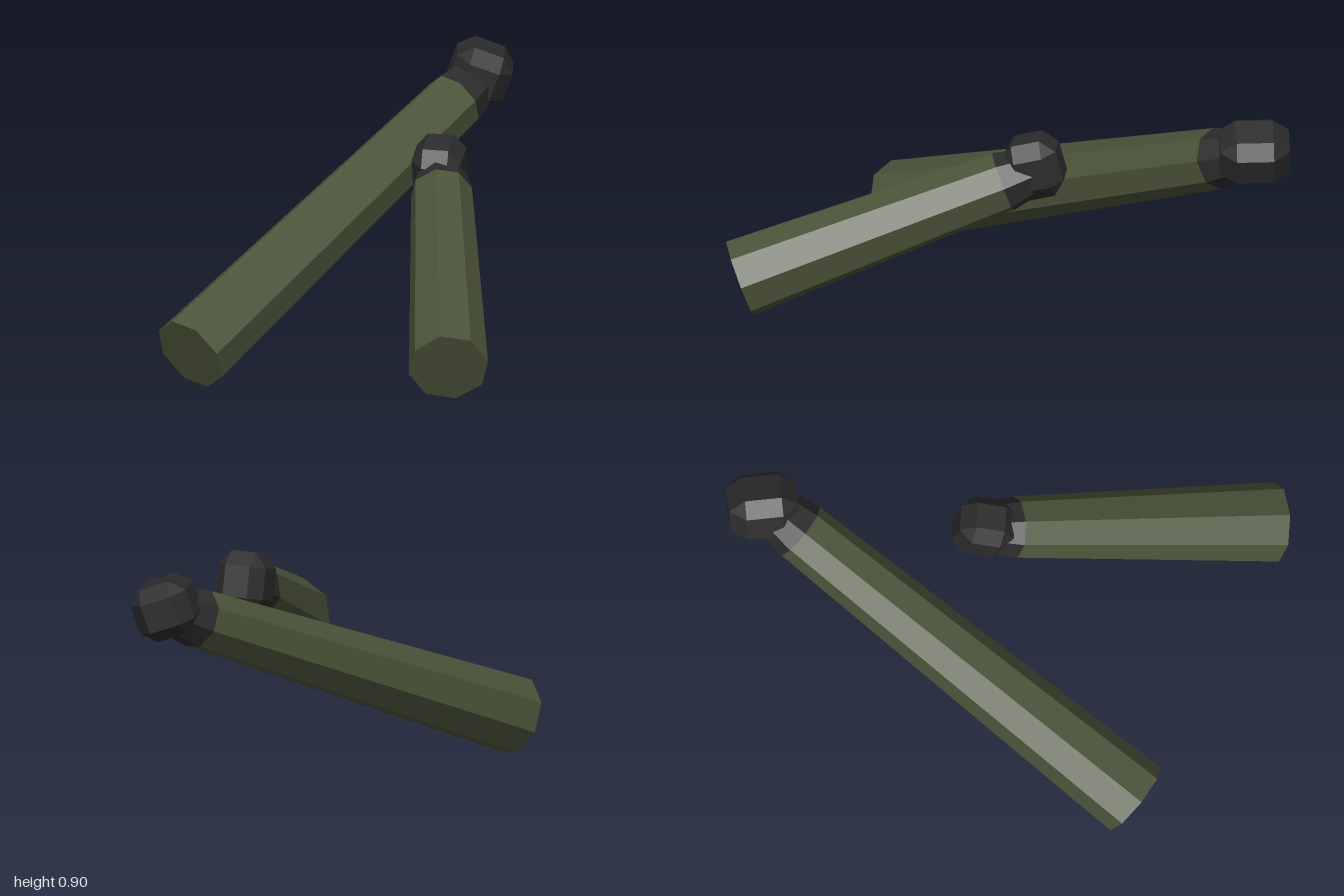
import * as THREE from 'three';
import { ConvexGeometry } from 'three/addons/geometries/ConvexGeometry.js';

const sleeveCloth = new THREE.MeshStandardMaterial({ color: 0x4b5339, flatShading: true });
sleeveCloth.name = 'olive sleeve';
const gloveLeather = new THREE.MeshStandardMaterial({ color: 0x2b2b2c, flatShading: true });
gloveLeather.name = 'black glove';

// Tapered eight-sided tube from one point to another, kept upright, with a twist of its sides
function taperedTube(name, from, to, r0, r1, twist, material) {
  const dir = to.clone().sub(from);
  const geometry = new THREE.CylinderGeometry(r1, r0, dir.length(), 8, 1, false, twist);
  dir.normalize();
  const right = dir.clone().cross(new THREE.Vector3(0, 1, 0)).normalize();
  const up = right.clone().cross(dir);
  const mesh = new THREE.Mesh(geometry, material);
  mesh.name = name;
  mesh.quaternion.setFromRotationMatrix(new THREE.Matrix4().makeBasis(right, dir, up));
  mesh.position.copy(from).add(to).multiplyScalar(0.5);
  return mesh;
}

// Block with every edge and corner cut off
function chamferedBlock(half, flat) {
  const points = [];
  for (let axis = 0; axis < 3; axis++) {
    for (const sx of [-1, 1]) for (const sy of [-1, 1]) for (const sz of [-1, 1]) {
      const k = [flat, flat, flat];
      k[axis] = 1;
      points.push(new THREE.Vector3(sx * half[0] * k[0], sy * half[1] * k[1], sz * half[2] * k[2]));
    }
  }
  return new ConvexGeometry(points);
}

function createArm({ name, elbow, wrist, radii, cuffLength, twist, hand }) {
  const arm = new THREE.Group();
  arm.name = name;
  const start = new THREE.Vector3(...elbow);
  const end = new THREE.Vector3(...wrist);
  const cuffEnd = end.clone().sub(start).setLength(cuffLength).add(end);

  arm.add(taperedTube('sleeve', start, end, radii[0], radii[1], twist, sleeveCloth));
  arm.add(taperedTube('gloveCuff', end, cuffEnd, radii[1] + 0.002, 0.088, twist, gloveLeather));

  const fist = new THREE.Mesh(chamferedBlock(hand.half, hand.flat), gloveLeather);
  fist.name = 'fist';
  fist.position.set(...hand.center);
  fist.rotation.set(...hand.rotation, 'YXZ');
  arm.add(fist);
  return arm;
}

export function createModel() {
  const model = new THREE.Group();
  model.name = 'armPair';

  // Long arm reaching across to the back
  model.add(createArm({
    name: 'longArm',
    elbow: [-0.525, 0.13, 0.52], wrist: [0.19, 0.72, -0.73],
    radii: [0.144, 0.11], cuffLength: 0.13, twist: Math.PI / 6,
    hand: { center: [0.253, 0.787, -0.87], half: [0.106, 0.1, 0.125], flat: 0.53, rotation: [0, 0.18, -0.35] },
  }));

  // Short arm, bent closer to the body
  model.add(createArm({
    name: 'shortArm',
    elbow: [0.503, 0.29, 0.95], wrist: [0.293, 0.63, 0.03],
    radii: [0.144, 0.111], cuffLength: 0.11, twist: 0.58,
    hand: { center: [0.265, 0.687, -0.08], half: [0.09, 0.11, 0.1], flat: 0.52, rotation: [0.27, 0, 0] },
  }));
  return model;
}
